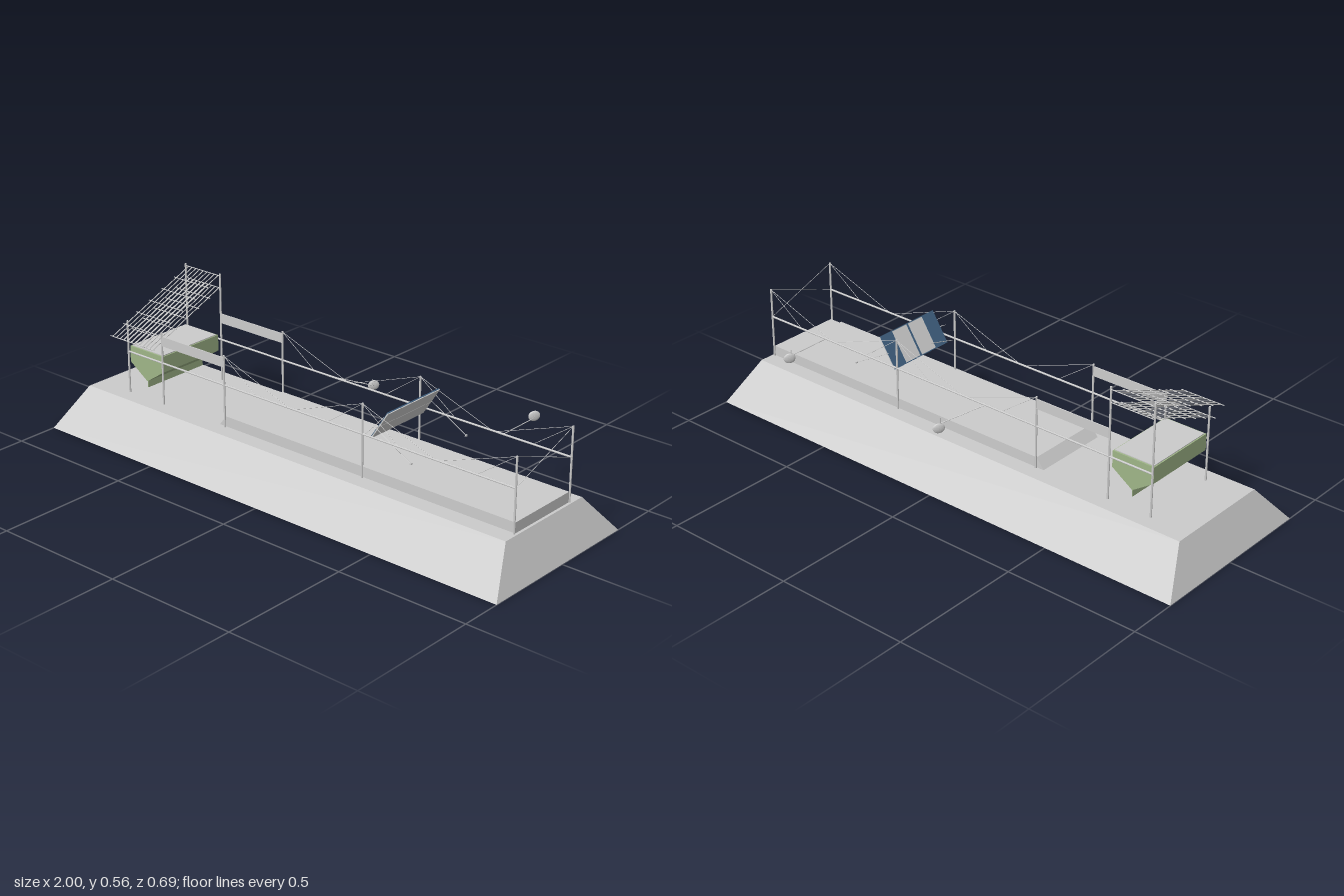
import * as THREE from 'three';

const material = (color = 0xcccccc) =>
  new THREE.MeshStandardMaterial({ color, flatShading: true, side: THREE.DoubleSide });
const grey = material();
const green = material(0x9fb588);
const blue = material(0x3f5f7f);
const FRONT = 0.163, BACK = -0.136;

export function createModel() {
  const model = new THREE.Group();

  const add = (name, geometry, mat = grey, parent = model) => {
    const mesh = new THREE.Mesh(geometry, mat);
    mesh.name = name;
    parent.add(mesh);
    return mesh;
  };
  const box = (name, x, y, z, w, h, d, mat, parent) => {
    const mesh = add(name, new THREE.BoxGeometry(w, h, d), mat, parent);
    mesh.position.set(x, y, z);
    return mesh;
  };
  // Round bar between two points
  const rod = (name, a, b, radius, parent = model, sides = 8) => {
    const from = new THREE.Vector3(...a), to = new THREE.Vector3(...b);
    const dir = to.clone().sub(from);
    const mesh = add(name, new THREE.CylinderGeometry(radius, radius, dir.length(), sides), grey, parent);
    mesh.position.copy(from).add(to).multiplyScalar(0.5);
    mesh.quaternion.setFromUnitVectors(new THREE.Vector3(0, 1, 0), dir.normalize());
    return mesh;
  };
  // Prism of an x-y outline running along z
  const prism = (name, points, z0, z1, mat) => {
    const shape = new THREE.Shape(points.map(([x, y]) => new THREE.Vector2(x, y)));
    const mesh = add(name, new THREE.ExtrudeGeometry(shape, { depth: z1 - z0, bevelEnabled: false }), mat);
    mesh.position.z = z0;
    return mesh;
  };

  // Embankment: a sloped shell, open underneath
  const bank = new THREE.BoxGeometry(2, 0.145, 0.665);
  const p = bank.attributes.position;
  for (let i = 0; i < p.count; i++) {
    const top = p.getY(i) > 0;
    p.setXYZ(i, Math.sign(p.getX(i)) * (top ? 0.935 : 1), top ? 0.145 : 0,
      0.0135 + Math.sign(p.getZ(i)) * (top ? 0.206 : 0.3325));
  }
  const faces = Array.from(bank.index.array);
  faces.splice(18, 6);
  bank.setIndex(faces);
  bank.computeVertexNormals();
  add('embankment', bank);

  // Raised platform with a ramp at one end
  prism('platform', [[-0.34, 0.145], [0.925, 0.145], [0.925, 0.183], [-0.31, 0.183]], -0.132, 0.157);

  // Posts, rails and side panels
  for (const z of [FRONT, BACK]) {
    for (const x of [-0.782, -0.61, -0.31, 0.31, 0.925]) {
      const top = x < -0.5 ? (z > 0 ? 0.42 : 0.555) : 0.412;
      rod('post', [x, 0.145, z], [x, top, z], 0.0037);
    }
    rod('rail', [-0.782, 0.303, z], [0.925, 0.303, z], 0.0035);
    box('sidePanel', -0.46, 0.386, z, 0.3, 0.036, 0.004);

    // Stay cables from the post tops down to the rail
    for (const [x, directions] of [[-0.31, [1]], [0.31, [-1, 1]], [0.925, [-1]]])
      for (const s of directions)
        for (const reach of [0.15, 0.3])
          rod('stayCable', [x, 0.41, z], [x + s * reach, 0.303, z], 0.0009, model, 5);
  }
  // Crossed cables at the far end
  rod('crossCable', [0.925, 0.41, FRONT], [0.925, 0.303, BACK], 0.0009, model, 5);
  rod('crossCable', [0.925, 0.41, BACK], [0.925, 0.303, FRONT], 0.0009, model, 5);

  // Hopper with V bottom, grey fill and a thin keel
  prism('hopper', [[-0.78, 0.322], [-0.78, 0.262], [-0.698, 0.207], [-0.616, 0.262], [-0.616, 0.322]],
    -0.126, 0.156, green);
  box('hopperFill', -0.698, 0.323, 0.015, 0.155, 0.004, 0.27);
  box('hopperKeel', -0.698, 0.196, 0.014, 0.003, 0.026, 0.277, green);

  // Two sloping lattice roofs over the hopper
  const roofs = [
    [[0.247, 0.388], [-0.139, 0.546]],
    [[0.2, 0.361], [-0.139, 0.5]],
  ];
  roofs.forEach(([[z0, y0], [z1, y1]], layer) => {
    const roof = new THREE.Group();
    roof.name = layer ? 'lowerRoof' : 'upperRoof';
    model.add(roof);
    for (let i = 0; i < 9; i++) {
      const x = -0.77 + i * 0.0185 + layer * 0.003;
      rod('roofBar', [x, y0, z0], [x, y1, z1], 0.0019, roof, 6);
    }
    for (let i = 0; i < 7; i++) {
      const t = i / 6, y = y0 + (y1 - y0) * t, z = z0 + (z1 - z0) * t;
      rod('roofCrossBar', [-0.782, y, z], [-0.61, y, z], 0.0016, roof, 6);
    }
  });

  // Tilted panel: grey centre, blue ends, raised seams
  const panel = new THREE.Group();
  panel.name = 'tiltedPanel';
  panel.position.set(0.364, 0.34, 0.007);
  panel.rotation.z = Math.atan2(0.104, 0.068);
  model.add(panel);
  box('panelBoard', 0, 0, 0, 0.124, 0.004, 0.27, grey, panel);
  for (const s of [-1, 1]) {
    box('blueEnd', 0, 0.003, s * 0.106, 0.124, 0.002, 0.058, blue, panel);
    box('panelEdge', s * 0.061, 0.003, 0, 0.003, 0.004, 0.27, blue, panel);
  }
  box('panelSeam', 0, 0.003, 0, 0.124, 0.004, 0.006, blue, panel);
  rod('panelAxle', [0.364, 0.338, FRONT - 0.005], [0.364, 0.338, BACK + 0.005], 0.0018);
  rod('panelHandle', [0.312, 0.3, 0.15], [0.312, 0.33, 0.04], 0.0012);
  for (const z of [FRONT - 0.004, BACK + 0.004]) {
    rod('panelCable', [0.35, 0.345, z], [0.51, 0.256, z], 0.0009, model, 5);
    box('cableWeight', 0.51, 0.256, z, 0.006, 0.005, 0.008);
  }

  // Round dishes on arms reaching out from the back rail
  const dishes = [
    { root: [-0.09, 0.302, BACK], tip: [0, 0.252, -0.262], dish: [-0.01, 0.245, -0.279] },
    { root: [0.655, 0.302, BACK], tip: [0.655, 0.302, -0.306], dish: [0.645, 0.302, -0.324] },
  ];
  for (const { root, tip, dish } of dishes) {
    rod('dishArm', root, tip, 0.0015);
    rod('dishBracket', tip, dish, 0.002);
    rod('dishPin', tip, [tip[0], tip[1] + 0.023, tip[2]], 0.0014);
    const disc = add('dish', new THREE.SphereGeometry(0.021, 20, 12));
    disc.scale.set(0.3, 0.88, 1);
    disc.rotation.y = -0.6;
    disc.position.set(...dish);
  }

  return model;
}
